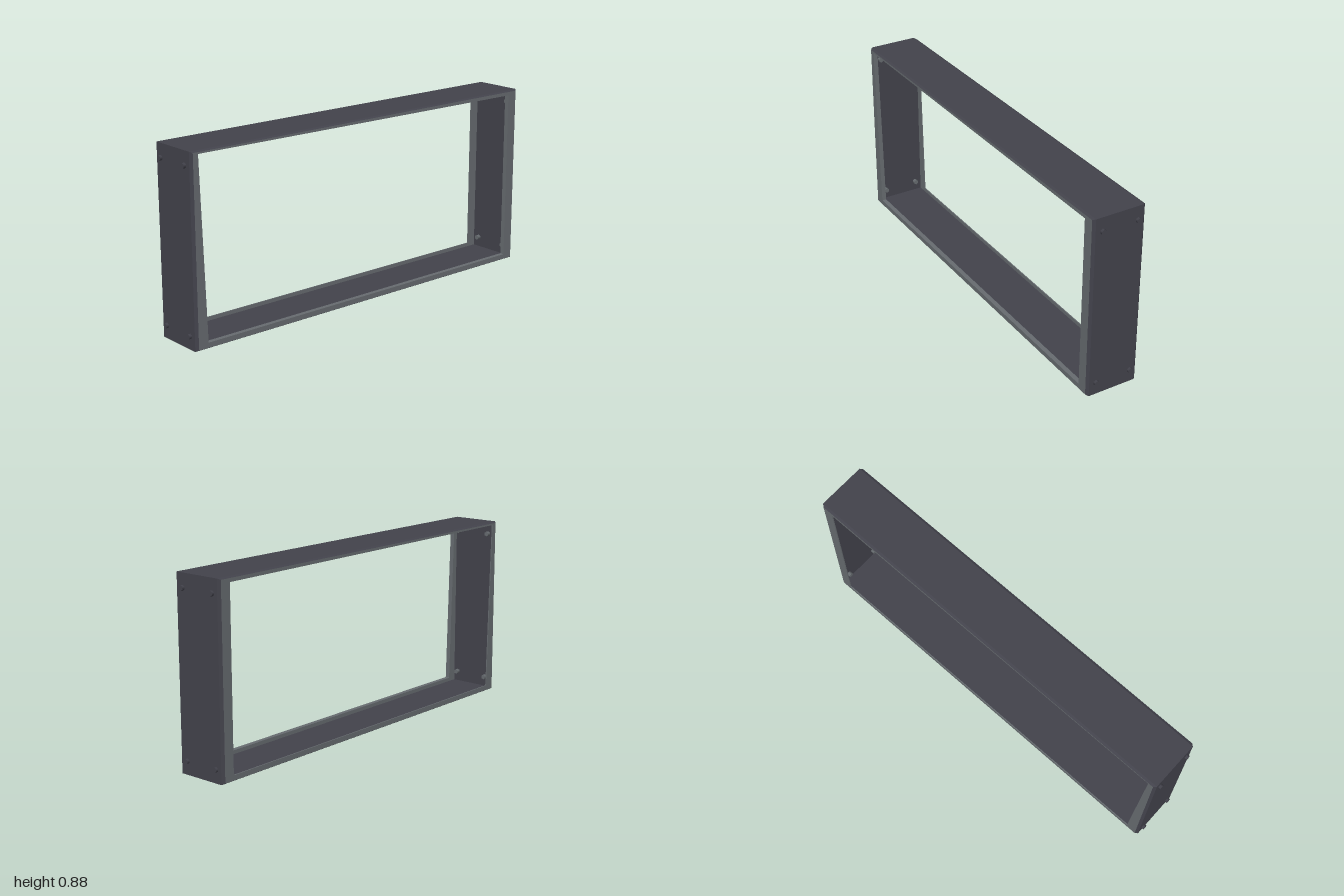
import * as THREE from 'three';

const charcoal = new THREE.MeshStandardMaterial({ color: 0x42424b });
charcoal.name = 'charcoal metal';
const grey = new THREE.MeshStandardMaterial({ color: 0x666b6f });
grey.name = 'grey metal';

// Four corners as [z, y]: front bottom, back bottom, back top, front top
const rect = (z, y0, y1) => [[z, y0], [-z, y0], [-z, y1], [z, y1]];
const outer = rect(0.988, 0, 0.883);
const bevel = rect(0.976, 0.006, 0.877);
const wall = rect(0.972, 0.012, 0.871);
// The opening is slightly skewed at its upper front corner
const opening = [[0.925, 0.03], [-0.925, 0.03], [-0.925, 0.86], [0.95, 0.869]];

// Four flat faces joining a rectangle at x = xa to one at x = xb
function band(name, material, a, xa, b, xb) {
  const pos = [];
  for (let i = 0; i < 4; i++) {
    const j = (i + 1) % 4;
    const p = (r, x, k) => [x, r[k][1], r[k][0]];
    pos.push(...p(a, xa, i), ...p(b, xb, i), ...p(b, xb, j));
    pos.push(...p(a, xa, i), ...p(b, xb, j), ...p(a, xa, j));
  }
  const g = new THREE.BufferGeometry();
  g.setAttribute('position', new THREE.Float32BufferAttribute(pos, 3));
  g.computeVertexNormals();
  const mesh = new THREE.Mesh(g, material);
  mesh.name = name;
  return mesh;
}

export function createModel() {
  const model = new THREE.Group();
  model.name = 'rectangularFrame';

  // Shell and rims, swept around the closed profile of the frame
  model.add(
    band('innerWall', charcoal, wall, -0.125, wall, 0.108),
    band('leftRimBack', grey, wall, 0.108, opening, 0.108),
    band('leftRimEdge', grey, opening, 0.108, opening, 0.13),
    band('leftRimFace', grey, opening, 0.13, bevel, 0.13),
    band('leftBevel', charcoal, bevel, 0.13, outer, 0.119),
    band('outerShell', charcoal, outer, 0.119, outer, -0.119),
    band('rightBevel', charcoal, outer, -0.119, bevel, -0.13),
    band('rightRimFace', grey, bevel, -0.13, opening, -0.13),
    band('rightRimEdge', grey, opening, -0.13, opening, -0.125),
    band('rightRimBack', grey, opening, -0.125, wall, -0.125)
  );

  // Hexagonal bolt heads outside, nuts inside, at both ends
  const headGeo = new THREE.CylinderGeometry(0.0125, 0.0125, 0.014, 6).rotateX(Math.PI / 2);
  const nutGeo = new THREE.CylinderGeometry(0.0125, 0.0125, 0.02, 6).rotateX(Math.PI / 2);
  for (const end of [1, -1]) {
    for (const x of [-0.09, 0.085]) {
      for (const y of [0.062, 0.818]) {
        const head = new THREE.Mesh(headGeo, charcoal);
        head.name = 'boltHead';
        head.position.set(x, y, end * 0.993);
        const nut = new THREE.Mesh(nutGeo, grey);
        nut.name = 'nut';
        nut.position.set(x, y, end * 0.964);
        model.add(head, nut);
      }
    }
  }
  return model;
}
